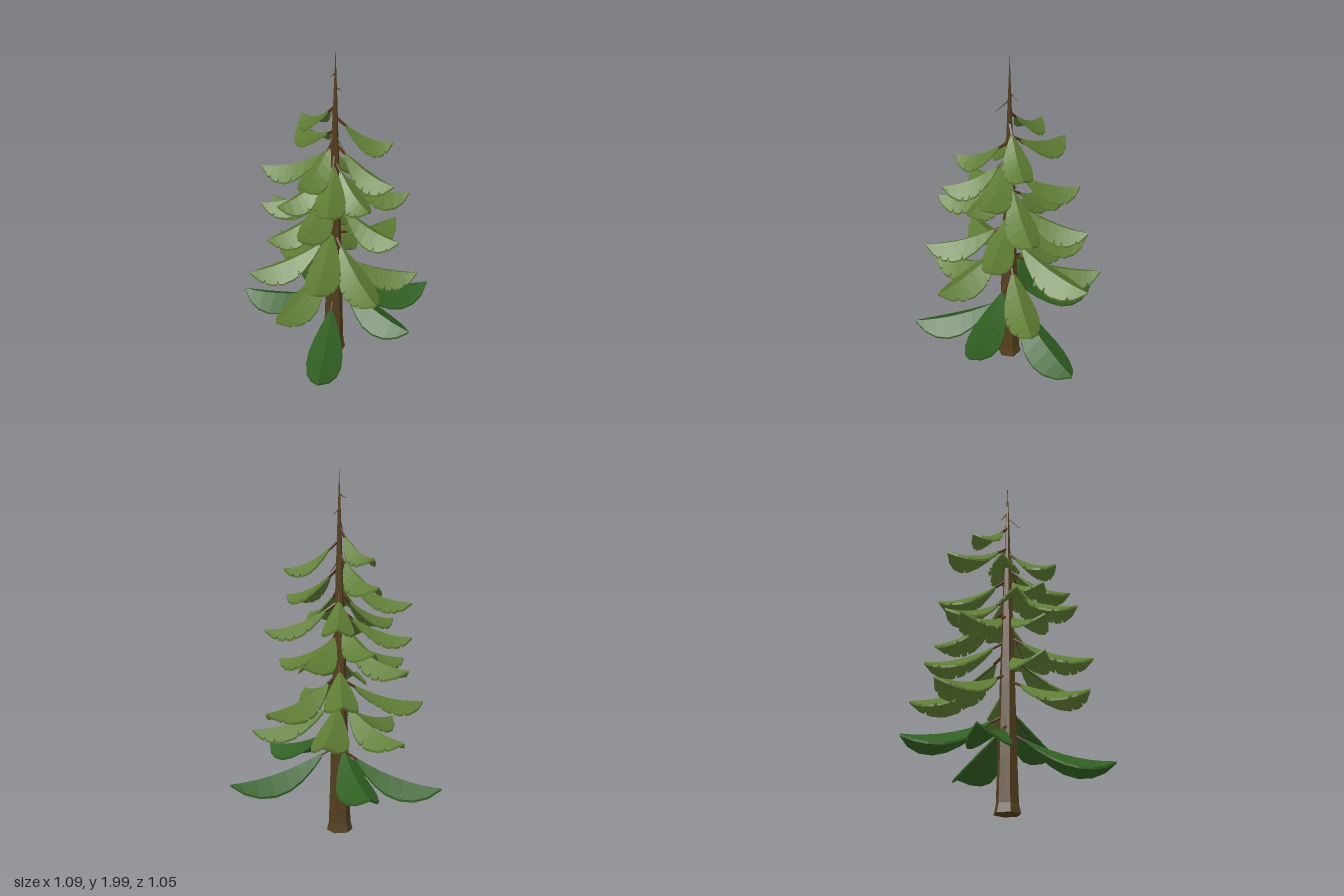
import * as THREE from 'three';

const CX = 0.037, CZ = -0.02; // trunk axis

const bark = new THREE.MeshStandardMaterial({ color: 0x543f1d, flatShading: true, name: 'bark brown' });
const twigBrown = new THREE.MeshStandardMaterial({ color: 0x51371b, flatShading: true, name: 'twig brown' });
const lightGreen = new THREE.MeshStandardMaterial({ color: 0x5f7d34, flatShading: true, name: 'light green' });
const darkGreen = new THREE.MeshStandardMaterial({ color: 0x305f21, flatShading: true, name: 'dark green' });

// Frond tips: x, y, z
const darkTips = [
  [-0.545, 0.3, 0.0], [0.54, 0.425, 0.11], [0.485, 0.33, -0.45], [-0.315, 0.355, -0.475], [0.16, 0.265, 0.525],
];
const lightTips = [
  [-0.42, 0.6, -0.265], [0.475, 0.58, -0.22], [-0.11, 0.57, 0.455], [-0.09, 0.61, -0.53],
  [-0.35, 0.71, 0.28], [0.4, 0.735, 0.3], [0.25, 0.74, -0.485], [-0.15, 0.8, -0.43],
  [0.115, 0.83, 0.44], [-0.4, 0.95, -0.14], [0.42, 0.95, 0.01], [0.055, 0.99, -0.455],
  [-0.24, 0.96, 0.26], [-0.33, 1.09, 0.13], [0.02, 1.11, 0.38], [-0.26, 1.05, -0.28],
  [0.4, 1.135, -0.2], [-0.1, 1.18, -0.38], [-0.18, 1.18, 0.24],
  [0.29, 1.21, 0.15], [0.13, 1.25, 0.32], [-0.35, 1.285, 0.06], [0.38, 1.315, 0.03],
  [-0.03, 1.355, 0.28], [-0.28, 1.385, -0.27], [0.31, 1.465, -0.14], [-0.21, 1.525, -0.15],
];

let seed = 7;
const rand = () => (seed = (seed * 16807) % 2147483647) / 2147483647;

// Tapered stick along a curve
function stick(curve, r0, r1, name) {
  const seg = 6, sides = 5;
  const geo = new THREE.TubeGeometry(curve, seg, 1, sides);
  const p = geo.attributes.position, c = new THREE.Vector3(), v = new THREE.Vector3();
  for (let i = 0; i < p.count; i++) {
    const t = Math.floor(i / (sides + 1)) / seg;
    curve.getPointAt(t, c);
    v.fromBufferAttribute(p, i).sub(c).multiplyScalar(r0 + (r1 - r0) * t).add(c);
    p.setXYZ(i, v.x, v.y, v.z);
  }
  const mesh = new THREE.Mesh(geo, twigBrown);
  mesh.name = name;
  return mesh;
}

// Half-width of the leaf at each distance along the ridge
const outline = [[0.18, 0.14], [0.27, 0.45], [0.4, 0.78], [0.52, 0.97], [0.65, 1], [0.78, 0.85], [0.9, 0.52], [1, 0]];

// One side of the leaf, with V-shaped nicks cut into its edge
function sideOutline(nicked) {
  const pts = outline.map((p) => [...p]);
  if (!nicked) return pts;
  const widthAt = (t) => {
    const i = outline.findIndex((p) => p[0] >= t), [a, b] = [outline[i - 1], outline[i]];
    return a[1] + (b[1] - a[1]) * (t - a[0]) / (b[0] - a[0]);
  };
  for (const base of [0.41, 0.54, 0.67, 0.8]) {
    if (rand() < 0.35) continue;
    const t = base + rand() * 0.06;
    pts.push([t, widthAt(t)], [t + 0.008, widthAt(t + 0.008) * 0.78], [t + 0.03, widthAt(t + 0.03)]);
  }
  return pts.sort((a, b) => a[0] - b[0]);
}

// Drooping branch carrying a thin solid leaf folded along its ridge
function frond([x, y, z], material, drop, nicked) {
  const group = new THREE.Group();
  group.name = 'frond';
  const dx = x - CX, dz = z - CZ, len = Math.hypot(dx, dz);
  const half = 0.045 + 0.1 * len, thick = 0.012;
  const ridge = (t) => drop * (1 - t) ** 2;

  const pos = [];
  for (const s of [-1, 1]) {
    const pts = sideOutline(nicked);
    const top = ([t]) => [0, ridge(t), t * len];
    const edge = ([t, w]) => [s * w * half, ridge(t) - 0.72 * w * half, t * len];
    const low = ([px, py, pz]) => [px, py - thick, pz];
    // corners are reversed on the mirrored side so faces point outward
    const tri = (a, b, c) => pos.push(...a, ...(s < 0 ? b : c), ...(s < 0 ? c : b));
    const quad = (a, b, c, d) => { tri(a, b, c); tri(a, c, d); };
    for (let i = 0; i + 1 < pts.length; i++) {
      const [ta, tb, ea, eb] = [top(pts[i]), top(pts[i + 1]), edge(pts[i]), edge(pts[i + 1])];
      quad(ta, ea, eb, tb);
      quad(low(ta), low(tb), low(eb), low(ea));
      quad(ea, low(ea), low(eb), eb);
    }
    const [t0, e0] = [top(pts[0]), edge(pts[0])];
    quad(t0, low(t0), low(e0), e0);
  }
  const geo = new THREE.BufferGeometry();
  geo.setAttribute('position', new THREE.Float32BufferAttribute(pos, 3));
  geo.computeVertexNormals();
  const leaf = new THREE.Mesh(geo, material);
  leaf.name = 'leaf';

  const path = [0, 0.2, 0.4, 0.6, 0.8].map((t) => new THREE.Vector3(0, ridge(t) - 0.01, t * len));
  group.add(leaf, stick(new THREE.CatmullRomCurve3(path), 0.009, 0.003, 'branch'));
  group.position.set(CX, y, CZ);
  group.rotation.y = Math.atan2(dx, dz);
  return group;
}

export function createModel() {
  const tree = new THREE.Group();
  tree.name = 'conifer';

  // Six-sided trunk with a flared foot
  const profile = [[0, 0], [0.0725, 0], [0.061, 0.05], [0.053, 0.3], [0.043, 0.7], [0.033, 1.05],
    [0.021, 1.4], [0.011, 1.7], [0.004, 1.88], [0, 1.99]].map((p) => new THREE.Vector2(...p));
  const trunk = new THREE.Mesh(new THREE.LatheGeometry(profile, 6), bark);
  trunk.name = 'trunk';
  trunk.position.set(CX, 0, CZ);
  tree.add(trunk);

  // Broad dark skirt at the bottom, then the light crown
  for (const tip of darkTips) tree.add(frond(tip, darkGreen, 0.18, false));
  for (const tip of lightTips) tree.add(frond(tip, lightGreen, 0.165, true));

  // Bare twigs near the top
  const twigs = [[0.05, 1.67, 0.06, 1.75], [0.05, 1.75, -0.065, 1.79], [0.0, 1.84, -0.01, 1.86], [0.1, 1.44, 0.0, 1.52]];
  for (const [x, y, z, y0] of twigs) {
    const curve = new THREE.QuadraticBezierCurve3(
      new THREE.Vector3(CX, y0, CZ),
      new THREE.Vector3((CX + x) / 2, (y0 + y) / 2 - 0.008, (CZ + z) / 2),
      new THREE.Vector3(x, y, z));
    tree.add(stick(curve, 0.004, 0.001, 'bareTwig'));
  }
  return tree;
}
